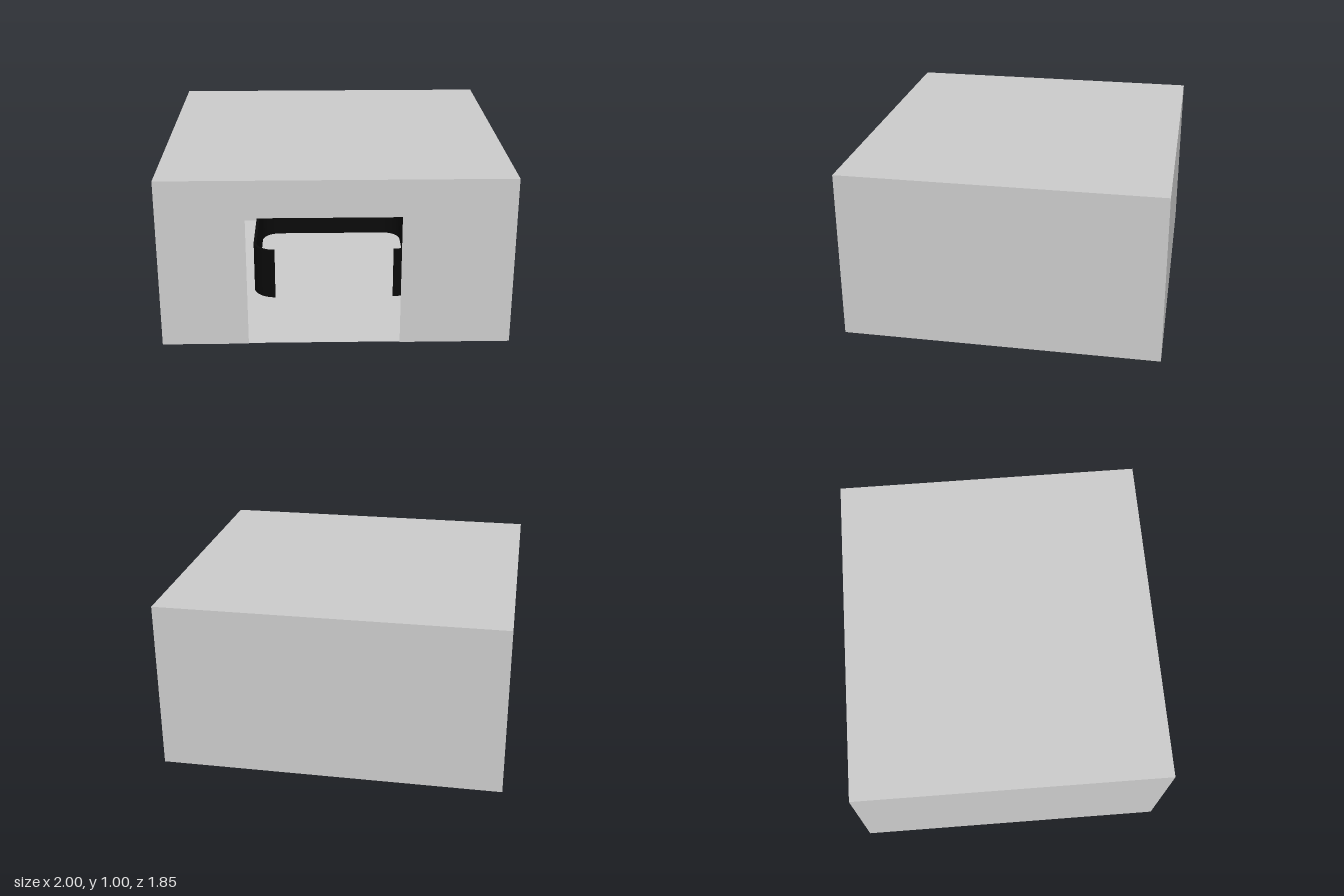
import * as THREE from 'three';

const W = 2, H = 1, D = 1.85, FLOOR = 0.004;
const grey = new THREE.MeshStandardMaterial({ color: 0xcccccc, side: THREE.DoubleSide });
const black = new THREE.MeshStandardMaterial({ color: 0x0a0a0a, side: THREE.DoubleSide });

function add(group, name, geometry, material) {
  const mesh = new THREE.Mesh(geometry, material);
  mesh.name = name;
  group.add(mesh);
  return mesh;
}

// Extrudes a ground outline (x, -z) upwards from y0
function upright(shape, y0, height) {
  return new THREE.ExtrudeGeometry(shape, { depth: height, bevelEnabled: false, curveSegments: 10 })
    .rotateX(-Math.PI / 2).translate(0, y0, 0);
}

export function createModel() {
  const model = new THREE.Group();
  model.name = 'room';

  // Thin shell: roof, floor, back and side walls
  add(model, 'roof', new THREE.PlaneGeometry(W, D).rotateX(-Math.PI / 2).translate(0, H, 0), grey);
  add(model, 'floor', new THREE.PlaneGeometry(W, D).rotateX(Math.PI / 2).translate(0, FLOOR, 0), grey);
  add(model, 'backWall', new THREE.PlaneGeometry(W, H).rotateY(Math.PI).translate(0, H / 2, -D / 2), grey);
  for (const s of [-1, 1]) {
    add(model, s > 0 ? 'leftWall' : 'rightWall',
      new THREE.PlaneGeometry(D, H).rotateY(s * Math.PI / 2).translate(s * W / 2, H / 2, 0), grey);
  }

  // Front wall with an off-centre doorway reaching the ground
  const front = new THREE.Shape([
    [-1, 0], [-0.505, 0], [-0.505, 0.78], [0.365, 0.78], [0.365, 0], [1, 0], [1, H], [-1, H],
  ].map(([x, y]) => new THREE.Vector2(x, y)));
  add(model, 'frontWall', new THREE.ShapeGeometry(front).translate(0, 0, D / 2), grey);

  // Low thin partition with rounded corners, open towards the doorway
  const X = 0.505, back = 0.69, frontZ = -0.35, R = 0.135, T = 0.018, r = R - T;
  const cx = X - R, cb = back - R, cf = frontZ + R, q = Math.PI / 2;
  const wall = new THREE.Shape();
  wall.moveTo(-cx, frontZ);
  wall.absarc(-cx, cf, R, 3 * q, 2 * q, true);
  wall.absarc(-cx, cb, R, 2 * q, q, true);
  wall.absarc(cx, cb, R, q, 0, true);
  wall.absarc(cx, cf, R, 0, -q, true);
  wall.lineTo(cx, frontZ + T);
  wall.absarc(cx, cf, r, -q, 0, false);
  wall.absarc(cx, cb, r, 0, q, false);
  wall.absarc(-cx, cb, r, q, 2 * q, false);
  wall.absarc(-cx, cf, r, 2 * q, 3 * q, false);
  wall.closePath();
  add(model, 'partition', upright(wall, FLOOR + 0.001, 0.32), black);

  // Foot of one partition corner, showing just below the floor
  const foot = new THREE.Shape();
  foot.moveTo(-X, cb - 0.1);
  foot.absarc(-cx, cb, R, 2 * q, q, true);
  foot.absarc(-cx, cb, r, q, 2 * q, false);
  foot.lineTo(-X + T, cb - 0.1);
  foot.closePath();
  add(model, 'partitionFoot', upright(foot, 0, FLOOR + 0.002), black);

  return model;
}
